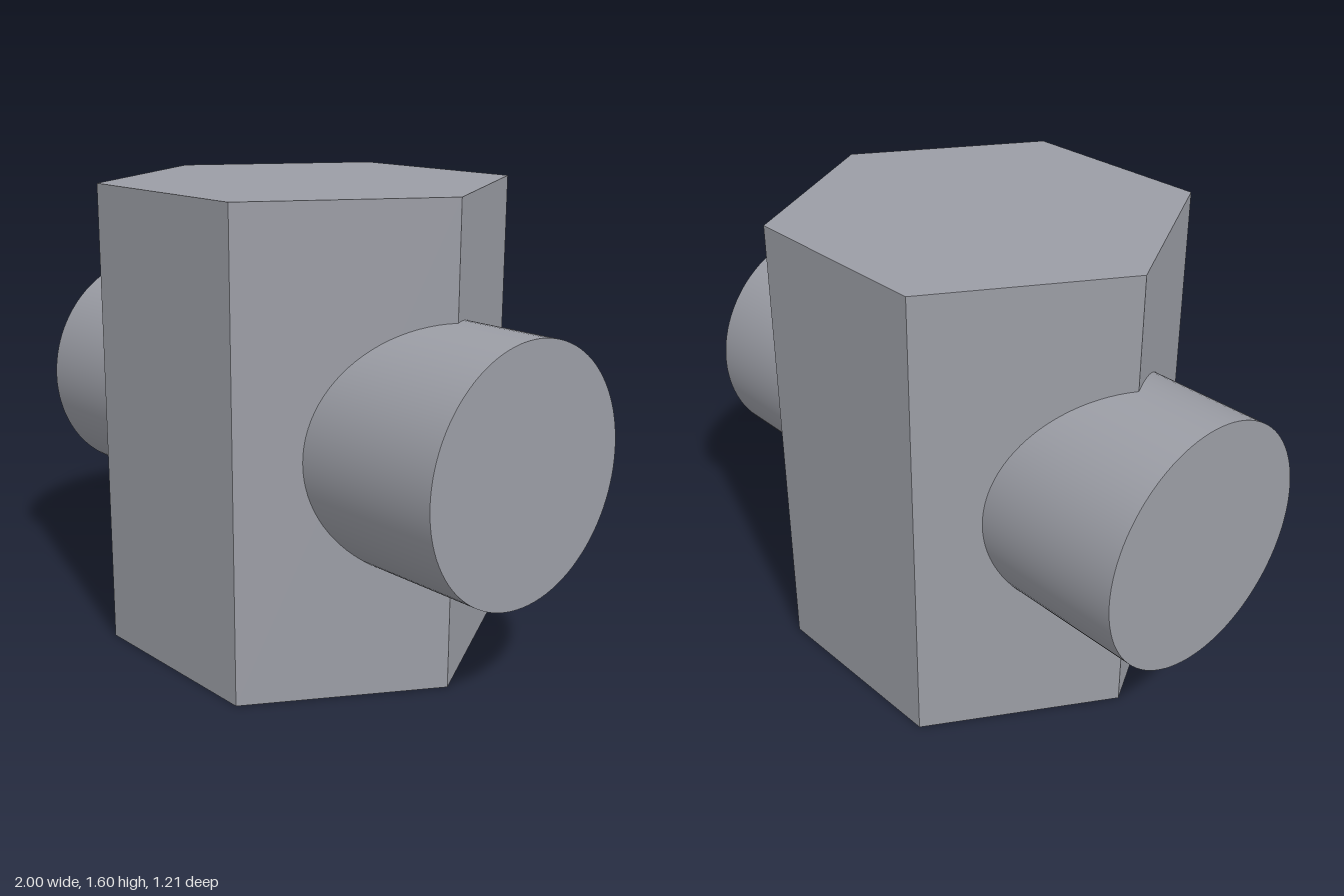
import * as THREE from 'three';

const HEX_RADIUS = 0.7, HEIGHT = 1.6, PIN_RADIUS = 0.418, PIN_END = 1;
const STEEL = 0x9b9da5;

export function createModel() {
  const model = new THREE.Group();
  model.name = 'hexBlockWithPins';
  const steel = new THREE.MeshStandardMaterial({ color: STEEL });
  const flatSteel = new THREE.MeshStandardMaterial({ color: STEEL, flatShading: true });

  // Hexagonal block with corners pointing along x
  const block = new THREE.Mesh(
    new THREE.CylinderGeometry(HEX_RADIUS, HEX_RADIUS, HEIGHT, 6, 1, false, Math.PI / 2), flatSteel);
  block.name = 'hexBlock';
  block.position.y = HEIGHT / 2;
  model.add(block);

  // Pin wall along x, its inner rim fitted to the two sloping block faces
  const wall = new THREE.CylinderGeometry(PIN_RADIUS, PIN_RADIUS, PIN_END, 96, 1, true);
  wall.rotateZ(-Math.PI / 2).translate(PIN_END / 2, 0, 0);
  const p = wall.attributes.position;
  for (let i = 0; i < p.count; i++) {
    if (p.getX(i) < PIN_END / 2) p.setX(i, HEX_RADIUS - Math.abs(p.getZ(i)) / Math.sqrt(3));
  }

  // Flat outer end of the pin
  const cap = new THREE.CircleGeometry(PIN_RADIUS, 96);
  cap.rotateY(Math.PI / 2).translate(PIN_END, 0, 0);

  for (const [name, turn] of [['leftPin', 0], ['rightPin', Math.PI]]) {
    const pin = new THREE.Group();
    pin.name = name;
    const wallMesh = new THREE.Mesh(wall, steel);
    wallMesh.name = name + 'Wall';
    const capMesh = new THREE.Mesh(cap, steel);
    capMesh.name = name + 'Cap';
    pin.add(wallMesh, capMesh);
    pin.position.y = HEIGHT / 2;
    pin.rotation.y = turn;
    model.add(pin);
  }
  return model;
}
